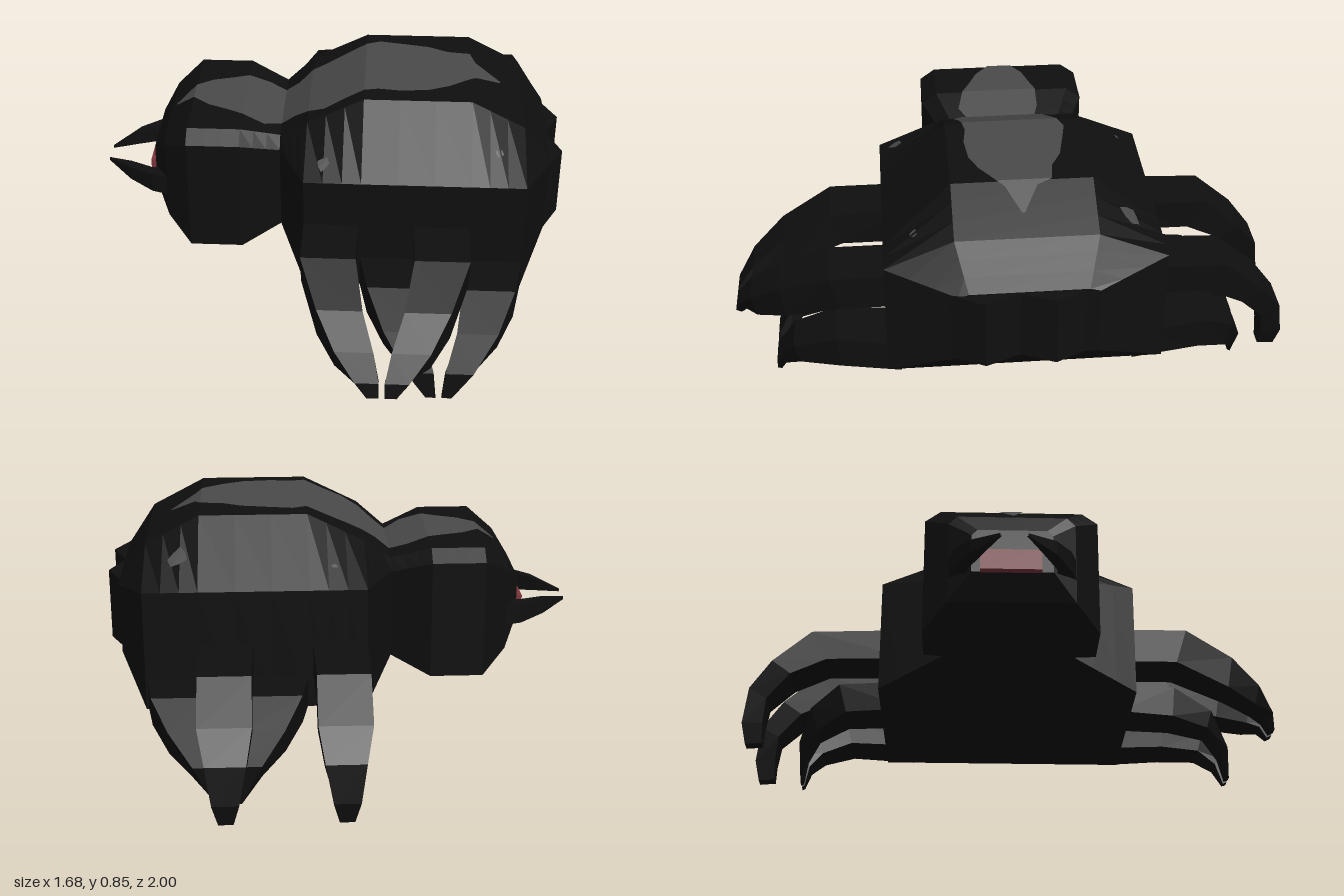
import * as THREE from 'three';

const CZ = -0.03; // the body's centre line
const lerp = (a, b, t) => a + (b - a) * t;

const black = new THREE.MeshStandardMaterial({ color: 0x0f0f0f });
black.name = 'black';
const grey = new THREE.MeshStandardMaterial({ color: 0x4a4a4a });
grey.name = 'grey';
const red = new THREE.MeshStandardMaterial({ color: 0x7c343a });
red.name = 'dull red';

// Flat-faced geometry from a list of triangles
function facets(tris) {
  const g = new THREE.BufferGeometry();
  g.setAttribute('position', new THREE.Float32BufferAttribute(tris.flat(2), 3));
  g.computeVertexNormals();
  return g;
}

// Closed skin over rings of points, turned outward by its signed volume
function loft(rings) {
  const tris = [];
  const n = rings[0].length;
  for (let i = 0; i + 1 < rings.length; i++) {
    for (let j = 0; j < n; j++) {
      const k = (j + 1) % n;
      const [a, b, c, d] = [rings[i][j], rings[i][k], rings[i + 1][k], rings[i + 1][j]];
      tris.push([a, b, c], [a, c, d]);
    }
  }
  const first = rings[0], last = rings[rings.length - 1];
  for (let j = 1; j + 1 < n; j++) {
    tris.push([first[0], first[j + 1], first[j]], [last[0], last[j], last[j + 1]]);
  }
  let volume = 0;
  for (const [a, b, c] of tris) {
    volume += a[0] * (b[1] * c[2] - b[2] * c[1]) + a[1] * (b[2] * c[0] - b[0] * c[2])
      + a[2] * (b[0] * c[1] - b[1] * c[0]);
  }
  return facets(volume < 0 ? tris.map(([a, b, c]) => [a, c, b]) : tris);
}

// Body sections: x, bottom, shoulder height, top, half width, half width of top
const headSections = [
  [-0.65, 0.40, 0.54, 0.56, 0.14, 0.12],
  [-0.60, 0.31, 0.61, 0.64, 0.22, 0.19],
  [-0.51, 0.24, 0.67, 0.71, 0.305, 0.25],
  [-0.32, 0.24, 0.67, 0.71, 0.305, 0.25],
  [-0.18, 0.30, 0.62, 0.66, 0.24, 0.20],
];
const abdomenSections = [
  [-0.18, 0.30, 0.62, 0.66, 0.24, 0.20],
  [-0.08, 0.21, 0.64, 0.74, 0.475, 0.24],
  [0.12, 0.21, 0.64, 0.84, 0.475, 0.24],
  [0.50, 0.21, 0.64, 0.84, 0.475, 0.24],
  [0.69, 0.21, 0.64, 0.74, 0.475, 0.24],
  [0.79, 0.33, 0.585, 0.595, 0.235, 0.20],
];

function sectionAt(x) {
  const list = x < -0.18 ? headSections : abdomenSections;
  let i = 0;
  while (i < list.length - 2 && x > list[i + 1][0]) i++;
  const t = (x - list[i][0]) / (list[i + 1][0] - list[i][0]);
  return list[i].map((v, k) => lerp(v, list[i + 1][k], t));
}

// Height of the back at a point
function backY(x, z) {
  const [, , shoulder, top, w, t] = sectionAt(x);
  const d = Math.abs(z - CZ);
  return d <= t ? top : lerp(top, shoulder, (d - t) / (w - t));
}

function bodyGeometry(list) {
  const rings = [];
  const steps = 3;
  for (let i = 0; i + 1 < list.length; i++) {
    for (let s = i ? 1 : 0; s <= steps; s++) {
      const [x, b, sh, top, w, t] = list[i].map((v, k) => lerp(v, list[i + 1][k], s / steps));
      rings.push([[-w, b], [-w, sh], [-t, top], [t, top], [w, sh], [w, b]]
        .map(([z, y]) => [x, y, z + CZ]));
    }
  }
  return loft(rings);
}

// Leg sections: outer z, outer y, inner z, inner y, x from, x to
const legs = {
  frontUpperLeg: { mirrorX: 0.21, path: [
    [0.40, 0.465, 0.40, 0.335, -0.08, 0.11], [0.64, 0.465, 0.60, 0.335, -0.08, 0.11],
    [0.82, 0.385, 0.80, 0.265, -0.015, 0.14], [0.93, 0.30, 0.91, 0.225, 0.05, 0.18],
    [0.99, 0.22, 0.955, 0.20, 0.12, 0.20], [1.0, 0.165, 0.98, 0.155, 0.16, 0.20]] },
  frontLowerLeg: { mirrorX: 0.405, path: [
    [0.40, 0.325, 0.40, 0.213, 0.11, 0.31], [0.62, 0.33, 0.61, 0.213, 0.15, 0.33],
    [0.77, 0.26, 0.75, 0.19, 0.21, 0.35], [0.84, 0.14, 0.81, 0.12, 0.29, 0.385],
    [0.85, 0.04, 0.835, 0.035, 0.36, 0.395]] },
  backUpperLeg: { mirrorX: 0.212, path: [
    [-0.40, 0.45, -0.40, 0.335, -0.08, 0.11], [-0.76, 0.44, -0.70, 0.33, -0.075, 0.105],
    [-0.90, 0.32, -0.83, 0.27, -0.075, 0.105], [-0.98, 0.22, -0.915, 0.18, -0.05, 0.085],
    [-1.0, 0.09, -0.925, 0.09, -0.03, 0.06], [-0.985, 0.015, -0.925, 0.02, -0.01, 0.04]] },
  backLowerLeg: { mirrorX: 0.405, path: [
    [-0.40, 0.325, -0.40, 0.213, 0.11, 0.31], [-0.67, 0.325, -0.64, 0.213, 0.15, 0.33],
    [-0.78, 0.25, -0.75, 0.16, 0.21, 0.35], [-0.825, 0.14, -0.795, 0.09, 0.29, 0.385],
    [-0.82, 0.0, -0.81, 0.005, 0.36, 0.395]] },
};

const legGeometry = (path, flip) => loft(path.map(([zo, yo, zi, yi, x0, x1]) => {
  const [a, b] = flip === null ? [x0, x1] : [2 * flip - x1, 2 * flip - x0];
  return [[a, yo, zo], [b, yo, zo], [b, yi, zi], [a, yi, zi]];
}));

// Ragged stripe along the back: x, right edge z, left edge z
const stripe = [
  [-0.58, -0.03, -0.02], [-0.51, -0.08, 0.01], [-0.45, -0.12, 0.06], [-0.38, -0.14, 0.09],
  [-0.32, -0.16, 0.12], [-0.24, -0.16, 0.14], [-0.18, -0.14, 0.10], [-0.13, -0.13, 0.11],
  [-0.08, -0.16, 0.14], [-0.02, -0.165, 0.17], [0.05, -0.18, 0.155], [0.12, -0.19, 0.15],
  [0.17, -0.21, 0.14], [0.25, -0.195, 0.15], [0.35, -0.175, 0.14], [0.42, -0.14, 0.11],
  [0.50, -0.13, 0.055], [0.52, -0.08, 0.03], [0.61, -0.03, -0.02],
];

function stripeGeometry() {
  const at = (x, z) => [x, backY(x, z) + 0.005, z];
  const tris = [];
  for (let i = 0; i + 1 < stripe.length; i++) {
    const [x0, r0, l0] = stripe[i], [x1, r1, l1] = stripe[i + 1];
    tris.push([at(x0, r0), at(x0, l0), at(x1, l1)], [at(x0, r0), at(x1, l1), at(x1, r1)]);
  }
  return facets(tris);
}

// Small uneven spot laid on the back
function spotGeometry(x, z, rx, rz) {
  const at = (px, pz) => [px, backY(px, pz) + 0.007, pz];
  const rim = [1, 0.75, 1.1, 0.8, 1, 0.7, 1.05].map((r, i) => {
    const a = i / 7 * Math.PI * 2;
    return at(x + Math.cos(a) * rx * r, z + Math.sin(a) * rz * r);
  });
  return facets(rim.map((p, i) => [at(x, z), rim[(i + 1) % 7], p]));
}

export function createModel() {
  const model = new THREE.Group();
  model.name = 'beetle';
  const add = (name, geometry, material) => {
    const mesh = new THREE.Mesh(geometry, material);
    mesh.name = name;
    model.add(mesh);
    return mesh;
  };

  add('head', bodyGeometry(headSections), black);
  add('abdomen', bodyGeometry(abdomenSections), black);

  // Two pointed lobes at the tail, and two curved fangs
  for (const side of [-1, 1]) {
    const name = side > 0 ? 'front' : 'back';
    add(name + 'TailLobe', loft([0.33, 0.59].map((y) =>
      [[0.78, 0.235], [0.84, 0.118], [0.79, 0], [0.78, 0]]
        .map(([x, z]) => [x, y, CZ + 0.03 + side * z]))), black);
    // Fang sections: x, outer z, inner z, bottom, top
    add(name + 'Fang', loft([
      [-0.58, 0.225, 0.14, 0.40, 0.475], [-0.66, 0.20, 0.155, 0.40, 0.475],
      [-0.75, 0.145, 0.10, 0.415, 0.465], [-0.845, 0.045, 0.04, 0.43, 0.44],
    ].map(([x, zo, zi, y0, y1]) =>
      [[y0, zo], [y1, zo], [y1, zi], [y0, zi]].map(([y, z]) => [x, y, CZ + side * z]))), black);
  }

  const mouth = add('mouth', new THREE.BoxGeometry(0.04, 0.075, 0.21), red);
  mouth.position.set(-0.656, 0.435, CZ - 0.005);

  for (const [name, { path, mirrorX }] of Object.entries(legs)) {
    add(name + 'A', legGeometry(path, null), black);
    add(name + 'B', legGeometry(path, mirrorX), black);
  }

  add('backStripe', stripeGeometry(), grey);
  [[0.57, -0.39, 0.036, 0.034], [-0.015, 0.385, 0.022, 0.026],
    [0.595, 0.34, 0.016, 0.014], [0.03, -0.425, 0.012, 0.008]]
    .forEach((s, i) => add('spot' + (i + 1), spotGeometry(...s), grey));

  return model;
}
